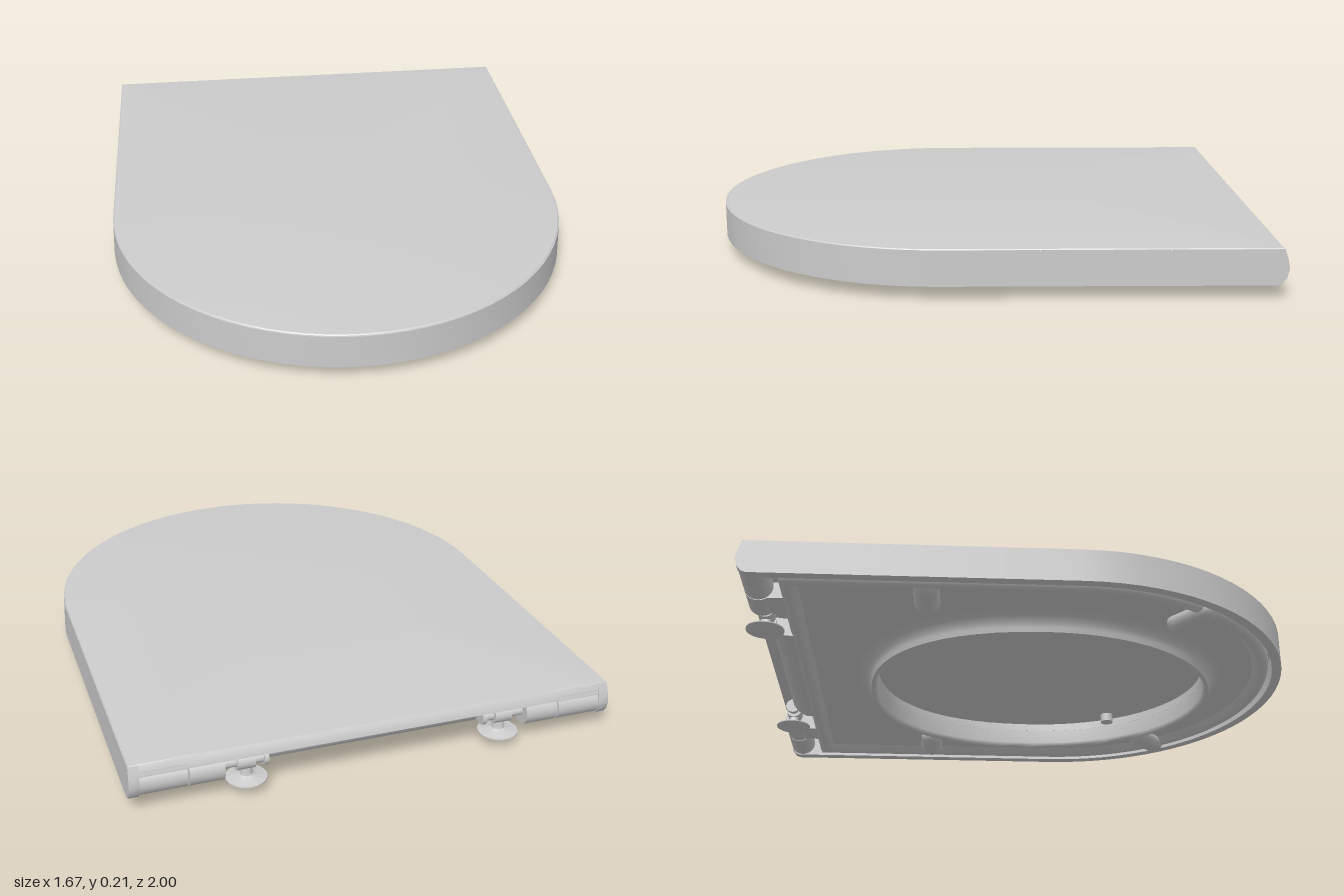
import * as THREE from 'three';
import { toCreasedNormals } from 'three/addons/utils/BufferGeometryUtils.js';

const W = 0.836, ARC_Z = 0.16; // half width and centre of the rounded front

export function createModel() {
  const model = new THREE.Group();
  model.name = 'toiletSeat';
  const grey = new THREE.MeshStandardMaterial({ color: 0xcccccc });
  grey.name = 'light grey plastic';

  const add = (name, geo, x = 0, y = 0, z = 0) => {
    const mesh = new THREE.Mesh(geo, grey);
    mesh.name = name;
    mesh.position.set(x, y, z);
    model.add(mesh);
    return mesh;
  };

  // D-shaped outline as [x, z] points: straight back, round front
  const dOutline = (inset, back) => {
    const pts = [], r = W - inset;
    for (let i = 0; i < 8; i++) pts.push([r, back + (ARC_Z - back) * i / 8]);
    for (let i = 0; i <= 40; i++) {
      const a = Math.PI * i / 40;
      pts.push([r * Math.cos(a), ARC_Z + r * Math.sin(a)]);
    }
    for (let i = 1; i <= 8; i++) pts.push([-r, ARC_Z + (back - ARC_Z) * i / 8]);
    for (let i = 1; i < 12; i++) pts.push([-r + 2 * r * i / 12, back]);
    return pts;
  };
  // Oval outline, a little squarer towards the back
  const oval = (rx, rz) => Array.from({ length: 64 }, (_, i) => {
    const a = i / 64 * Math.PI * 2, c = Math.cos(a), s = Math.sin(a);
    const n = s < 0 ? 2.3 : 2;
    const k = (Math.abs(c) ** n + Math.abs(s) ** n) ** (-1 / n);
    return [rx * c * k, 0.07 + rz * s * k];
  });
  const atHeight = (pts, y) => pts.map(([x, z]) => [x, y, z]);

  // Skin between closed rings of equal point count
  const loft = (rings, crease = 0.5) => {
    const n = rings[0].length, index = [];
    for (let i = 0; i < rings.length - 1; i++) {
      for (let j = 0; j < n; j++) {
        const a = i * n + j, b = i * n + (j + 1) % n;
        index.push(a, a + n, b, b, a + n, b + n);
      }
    }
    const geo = new THREE.BufferGeometry();
    geo.setAttribute('position', new THREE.Float32BufferAttribute(rings.flat(2), 3));
    geo.setIndex(index);
    return toCreasedNormals(geo, crease);
  };

  const toVec = (pts) => pts.map(([x, z]) => new THREE.Vector2(x, z));
  // Flat outline turned into a plate from y0 up to y1
  const plate = (shape, y0, y1) => {
    const geo = new THREE.ExtrudeGeometry(shape, { depth: y1 - y0, bevelEnabled: false });
    geo.rotateX(Math.PI / 2).translate(0, y1, 0);
    return toCreasedNormals(geo, 0.5);
  };
  // Side profile of [z, y] points swept across x0..x1
  const sweepX = (profile, x0, x1) => {
    const geo = new THREE.ExtrudeGeometry(new THREE.Shape(toVec(profile)), { depth: x1 - x0, bevelEnabled: false });
    geo.rotateY(-Math.PI / 2).translate(x1, 0, 0);
    return toCreasedNormals(geo, 0.6);
  };
  // Lid sides lean in slightly towards the top
  const taper = (geo) => {
    const p = geo.attributes.position;
    for (let i = 0; i < p.count; i++) {
      p.setX(i, p.getX(i) * (1 - 0.006 * (p.getY(i) - 0.05) / 0.12));
    }
    return geo;
  };

  // Lid: domed top, its flat underside stepping down over the seat
  const inner = dOutline(0.06, -0.84), under = dOutline(0.02, -0.975), edge = dOutline(0.005, -0.967);
  const shrink = (pts, s) => pts.map(([x, z]) => [x * s, -0.05 + (z + 0.05) * s]);
  const lidRings = [
    atHeight(shrink(inner, 0.001), 0.108),
    atHeight(inner, 0.108),
    atHeight(inner, 0.135),
    atHeight(under, 0.135),
    atHeight(edge, 0.17),
  ];
  for (const s of [0.995, 0.9, 0.75, 0.6, 0.45, 0.3, 0.15, 0.001]) {
    lidRings.push(atHeight(shrink(edge, s), 0.175 + 0.035 * (1 - s * s)));
  }
  add('lidTop', loft(lidRings));

  // Lid: wall around sides and front, open at the back
  const wallHalf = (inset) => dOutline(inset, -0.9).slice(0, 57);
  const wallShape = new THREE.Shape(toVec([...wallHalf(0), ...wallHalf(0.035).reverse()]));
  add('lidWall', taper(plate(wallShape, 0.05, 0.172)));

  // Lid: rounded rear ends of the side walls
  const cheek = [
    [-0.9, 0.172], [-0.967, 0.172], [-0.978, 0.14], [-0.985, 0.105],
    [-0.977, 0.075], [-0.962, 0.056], [-0.945, 0.05], [-0.9, 0.05],
  ];
  for (const x0 of [-W, W - 0.035]) add('lidRearCheek', taper(sweepX(cheek, x0, x0 + 0.035)));

  // Seat: ring plate with an oval opening
  const SEAT_BACK = -0.84;
  const seatShape = new THREE.Shape(toVec(dOutline(0.06, SEAT_BACK)));
  seatShape.holes.push(new THREE.Path(toVec(oval(0.53, 0.63))));
  add('seatPlate', plate(seatShape, 0.074, 0.104));

  // Seat: rolled outer rim
  add('seatRim', loft([
    [0.11, 0.075], [0.092, 0.056], [0.075, 0.047], [0.057, 0.053], [0.048, 0.07], [0.046, 0.09], [0.06, 0.104],
  ].map(([inset, y]) => atHeight(dOutline(inset, SEAT_BACK - 0.06 + inset), y)), 0.9));

  // Seat: sloping rear edge between the hinges
  add('seatRearEdge', sweepX([
    [-0.83, 0.118], [-0.935, 0.13], [-0.925, 0.1], [-0.905, 0.075], [-0.875, 0.056], [-0.83, 0.052],
  ], -0.37, 0.37));

  // Seat: lip hanging down around the opening
  add('seatLip', loft([
    [0.53, 0.104], [0.531, 0.02], [0.533, 0.006], [0.54, 0.001], [0.55, 0.003],
    [0.554, 0.02], [0.56, 0.04], [0.575, 0.055], [0.6, 0.066], [0.635, 0.072], [0.67, 0.075],
  ].map(([r, y]) => atHeight(oval(r, r + 0.1), y)), 0.9));

  // Pill-shaped buffers under the seat and small pegs under the lid
  for (const side of [1, -1]) {
    for (const [x, y, z, turn] of [[0.67, 0.074, -0.36, 0], [0.57, 0.066, 0.565, -0.72]]) {
      const pill = add('seatBuffer', new THREE.CapsuleGeometry(0.045, 0.11, 6, 16).rotateZ(Math.PI / 2),
        side * x, y, z);
      pill.rotation.y = side * turn;
      pill.scale.y = 0.9;
    }
    add('lidPeg', new THREE.CylinderGeometry(0.025, 0.025, 0.04, 16), side * 0.42, 0.095, 0.38);
  }

  // Hinges
  const HZ = -0.932, HY = 0.102;
  const rod = (name, side, x0, x1, r) => add(name,
    new THREE.CylinderGeometry(r, r, x1 - x0, 24).rotateZ(Math.PI / 2), side * (x0 + x1) / 2, HY, HZ);
  const foot = [[0, 0.03], [0.045, 0.031], [0.068, 0.036], [0.068, 0.04], [0.03, 0.046], [0.022, 0.052],
    [0.018, 0.07], [0.018, HY]].map(([r, y]) => new THREE.Vector2(r, y));
  for (const side of [1, -1]) {
    rod('lidHingeBarrel', side, 0.645, 0.8, 0.05);
    rod('seatHingeBarrel', side, 0.525, 0.64, 0.05);
    add('seatHingeArm', new THREE.BoxGeometry(0.115, 0.06, 0.1), side * 0.5825, HY - 0.01, -0.88);
    add('lidHingeArm', new THREE.BoxGeometry(0.155, 0.05, 0.08), side * 0.7225, 0.125, HZ);
    rod('hingePin', side, 0.38, 0.53, 0.018);
    rod('hingeCollar', side, 0.42, 0.48, 0.03);
    rod('hingePinEnd', side, 0.375, 0.39, 0.028);
    add('hingeFoot', toCreasedNormals(new THREE.LatheGeometry(foot, 28), 0.6), side * 0.445, 0, HZ);
  }

  return model;
}
